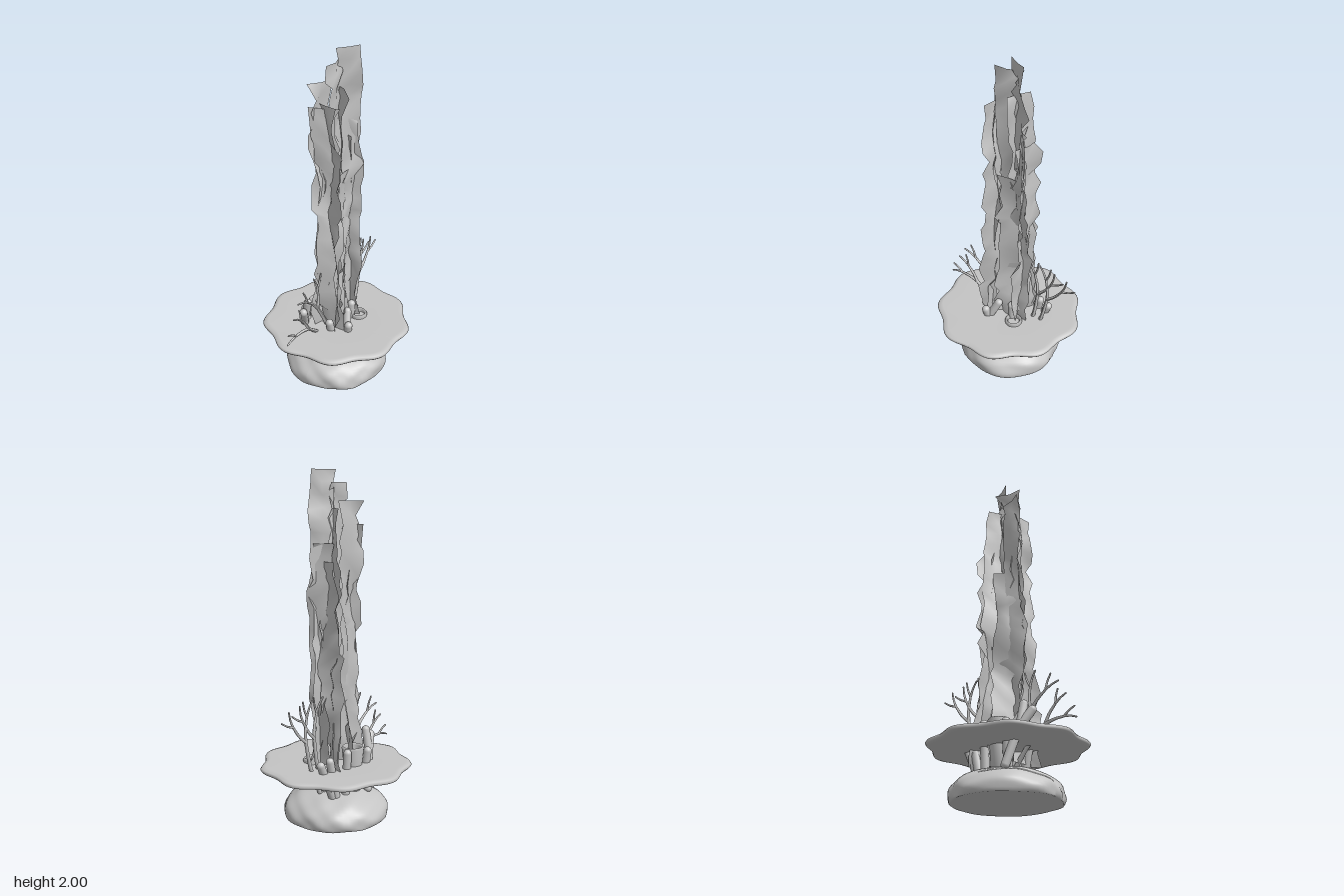
import * as THREE from 'three';

const coralGrey = new THREE.MeshStandardMaterial({ color: 0xc4c4c4 });
coralGrey.name = 'coral grey';
const kelpGrey = new THREE.MeshStandardMaterial({ color: 0xc2c2c2, side: THREE.DoubleSide });
kelpGrey.name = 'kelp grey';

let seed = 7;
const rand = () => (seed = (seed * 16807) % 2147483647) / 2147483647;
const jitter = (a) => (rand() * 2 - 1) * a;

function group(parent, name) {
  const g = new THREE.Group();
  g.name = name;
  parent.add(g);
  return g;
}

function add(parent, name, geometry, material = coralGrey) {
  const mesh = new THREE.Mesh(geometry, material);
  mesh.name = name;
  parent.add(mesh);
  return mesh;
}

// Moves every vertex by a rule and refreshes the normals
function warp(geometry, rule) {
  const p = geometry.attributes.position, v = new THREE.Vector3();
  for (let i = 0; i < p.count; i++) {
    rule(v.fromBufferAttribute(p, i), i);
    p.setXYZ(i, v.x, v.y, v.z);
  }
  geometry.computeVertexNormals();
  return geometry;
}

const lathe = (pts, n) => new THREE.LatheGeometry(pts.map(([x, y]) => new THREE.Vector2(x, y)), n);

// Lumpy boulder with a flat underside
function rock() {
  return warp(new THREE.SphereGeometry(1, 64, 40), (v) => {
    const lump = 1 + 0.025 * Math.sin(5 * v.x + 4 * v.y) * Math.cos(6 * v.z + 1)
      + 0.018 * Math.sin(11 * v.z + 7 * v.x) * Math.cos(9 * v.y);
    v.set(v.x * 0.308 * lump, 0.03 + v.y * 0.152 * lump, v.z * 0.308 * lump);
    v.y = Math.max(0, v.y);
  });
}

// Scalloped table coral on a short stalk
function tableCoral() {
  const profile = [[0, 0.16], [0.05, 0.16], [0.055, 0.22], [0.09, 0.265], [0.15, 0.283], [0.3, 0.288],
    [0.405, 0.291], [0.425, 0.297], [0.432, 0.307], [0.425, 0.318], [0.4, 0.325], [0.2, 0.321], [0, 0.316]];
  return warp(lathe(profile, 144), (v) => {
    const r = Math.min(1, Math.hypot(v.x, v.z) / 0.4), a = Math.atan2(v.x, -v.z);
    const k = 1 + r * r * (0.036 * Math.cos(9 * a) + 0.008 * Math.cos(3 * a + 2));
    v.x *= k;
    v.z = v.z * k + 0.008 * r;
  });
}

// Ruffled kelp blade that twists as it climbs
function blade(x, z, angle, top, topX, topZ) {
  const bottom = 0.2, rows = Math.round((top - bottom) / 0.07), phase = rand() * 6;
  return warp(new THREE.PlaneGeometry(1, 1, 2, rows), (v) => {
    const t = v.y + 0.5;
    const turn = angle + 0.7 * Math.sin(t * 5 + phase) * (1 - t) + jitter(0.24);
    const across = v.x * (0.155 - 0.015 * t) + (v.x ? jitter(0.02) : 0);
    const out = v.x ? jitter(0.016) : 0.014 * Math.sin(t * 14 + phase);
    v.set(
      THREE.MathUtils.lerp(x, topX, t) + across * Math.cos(turn) + out * Math.sin(turn),
      bottom + t * (top - bottom) + (v.x && t > 0.01 && t < 0.99 ? jitter(0.022) : 0),
      THREE.MathUtils.lerp(z, topZ, t) - across * Math.sin(turn) + out * Math.cos(turn));
  });
}

// Open tube sponge with an inner wall
function sponge(r0, r1, h) {
  return lathe([[0, 0], [r0, 0], [(r0 + r1) * 0.48, h * 0.5], [r1, h - 0.012], [r1 - 0.008, h],
    [r1 - 0.016, h - 0.012], [r0 * 0.8, h * 0.4], [0, h * 0.38]], 28);
}

// Flat sea fan: a bowed twig that forks in two until the depth runs out
function growTwig(parent, x, y, angle, length, radius, depth, lean) {
  const along = (d, side) => new THREE.Vector3(
    x + d * Math.sin(angle) + side * Math.cos(angle), y + d * Math.cos(angle) - side * Math.sin(angle), -0.012);
  const end = along(length, 0), tip = radius * 0.7, n = 8, sides = 7;
  const curve = new THREE.CatmullRomCurve3([along(0, 0), along(length * 0.5, length * 0.05), end]);
  const c = new THREE.Vector3();
  add(parent, 'fanTwig', warp(new THREE.TubeGeometry(curve, n, 1, sides), (v, i) => {
    const t = Math.floor(i / (sides + 1)) / n;
    curve.getPointAt(t, c);
    v.sub(c).multiplyScalar(THREE.MathUtils.lerp(radius, tip, t)).add(c);
  }));
  add(parent, 'twigEnd', new THREE.SphereGeometry(tip, 7, 5)).position.copy(end);
  if (depth === 0) return;
  for (const fork of [-0.4, 0.4]) {
    const shorter = length * (depth === 2 ? 0.42 : 0.65);
    growTwig(parent, end.x, end.y, angle + lean + fork, shorter, tip, depth - 1, 0);
  }
}

export function createModel() {
  const model = new THREE.Group();
  model.name = 'coralReef';
  add(model, 'rock', rock());
  add(model, 'tableCoral', tableCoral());

  // Kelp: base x, z, facing angle, top height, top x, z
  const kelp = group(model, 'kelp');
  [
    [0.08, 0.03, -0.5, 2.0, 0.078, 0.027],
    [0.01, 0.0, 0.2, 1.93, -0.015, 0.0],
    [-0.07, -0.03, -0.2, 1.83, -0.07, -0.045],
    [0.07, -0.06, 1.0, 1.79, 0.05, -0.02],
    [-0.07, 0.07, 1.1, 1.72, -0.09, 0.01],
    [0.1, 0.04, 2.0, 1.6, 0.1, 0.01],
    [0.1, -0.07, 1.4, 1.5, 0.1, -0.03],
    [-0.09, 0.03, 2.1, 1.7, -0.1, -0.01],
    [0.03, 0.06, 0.2, 1.3, 0.03, 0.03],
    [-0.03, -0.07, 0.5, 1.35, -0.03, -0.04],
  ].forEach((b) => add(kelp, 'kelpBlade', blade(...b), kelpGrey));

  // Tube sponges: x, z, base radius, rim radius, top height
  [[-0.03, -0.105, 0.042, 0.065, 0.43], [0.1, 0.1, 0.042, 0.052, 0.345], [0.03, 0.11, 0.045, 0.06, 0.255]]
    .forEach(([x, z, r0, r1, top]) => {
      add(model, 'tubeSponge', sponge(r0, r1, top - 0.15)).position.set(x, 0.15, z);
    });

  // Finger corals: start x, y, z, then tip x, y, z
  const fingers = group(model, 'fingerCorals');
  const up = new THREE.Vector3(0, 1, 0);
  [
    [-0.11, 0.16, -0.155, -0.17, 0.37, -0.11],
    [-0.17, 0.36, -0.11, -0.225, 0.45, -0.075],
    [-0.17, 0.36, -0.11, -0.175, 0.49, -0.08],
    [-0.1, 0.16, -0.12, -0.11, 0.39, -0.15],
    [0.13, 0.16, -0.09, 0.225, 0.37, -0.09],
    [0.11, 0.16, -0.1, 0.16, 0.38, -0.1],
    [0.05, 0.16, -0.12, 0.05, 0.41, -0.135],
    [-0.04, 0.16, 0.1, -0.075, 0.36, 0.145],
    [-0.06, 0.31, 0.125, -0.015, 0.41, 0.095],
    [-0.08, 0.16, 0.05, -0.13, 0.37, 0.045],
    [0.06, 0.16, 0.06, 0.065, 0.41, 0.07],
  ].forEach(([ax, ay, az, bx, by, bz]) => {
    const a = new THREE.Vector3(ax, ay, az), b = new THREE.Vector3(bx, by, bz);
    const finger = add(fingers, 'finger', new THREE.CapsuleGeometry(0.024, a.distanceTo(b), 6, 14));
    finger.position.lerpVectors(a, b, 0.5);
    finger.quaternion.setFromUnitVectors(up, b.sub(a).normalize());
  });

  // Sea fans: base x, angle from upright, trunk length, lean of the forks
  const fans = group(model, 'seaFans');
  [[0.15, 0.33, 0.35, 0], [0.11, 0.25, 0.35, 0], [-0.06, -0.76, 0.29, -0.25], [-0.04, -0.4, 0.33, 0]]
    .forEach(([x, angle, length, lean]) => growTwig(fans, x, 0.17, angle, length, 0.014, 2, lean));
  return model;
}
